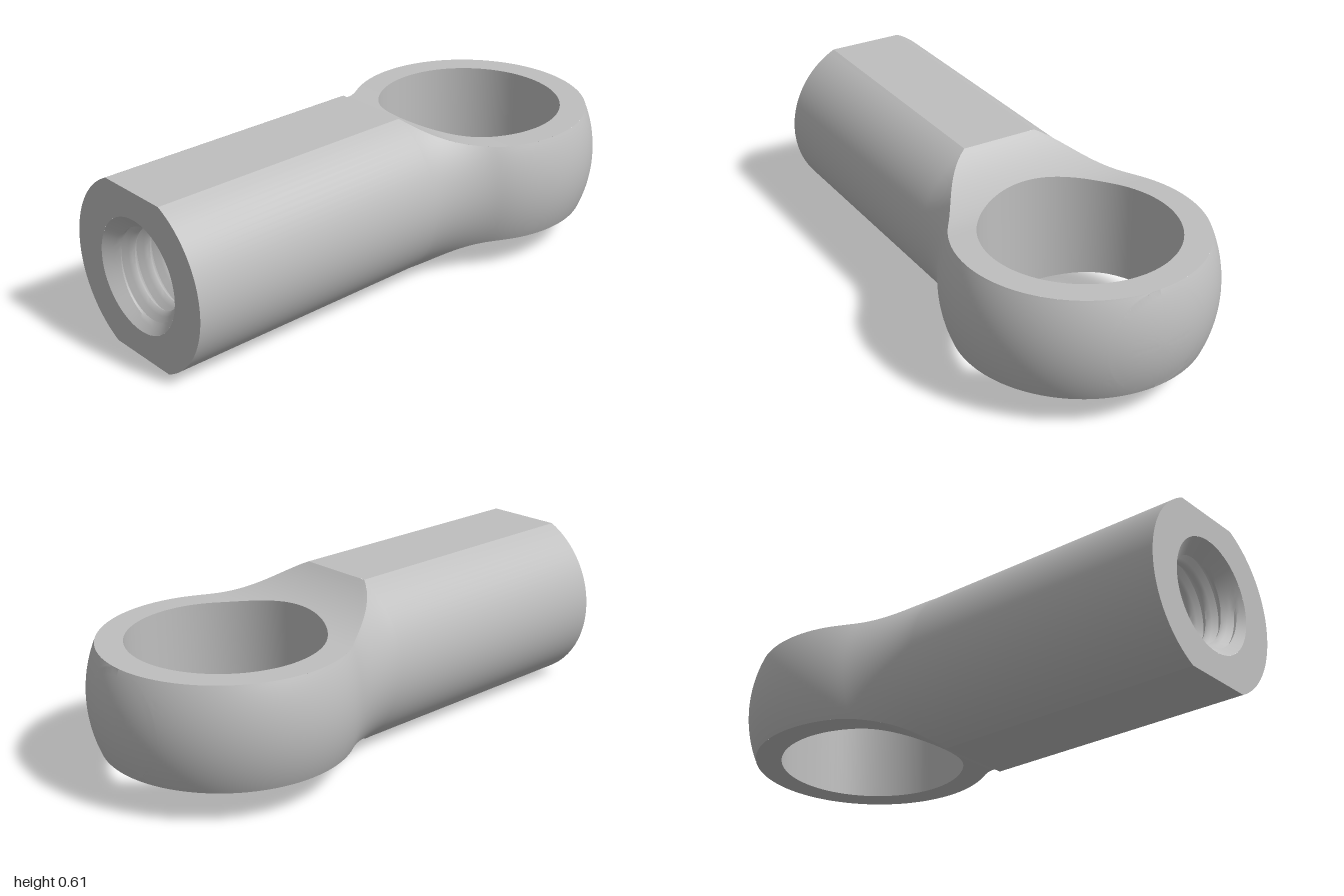
import * as THREE from 'three';
import { toCreasedNormals } from 'three/addons/utils/BufferGeometryUtils.js';

// Main dimensions; the body axis is z, and y = 0 is the mid plane here
const H = 0.3025, SHANK_R = 0.335, SHANK_END = -0.02, FRONT = 1;
const EYE_Z = -0.525, EYE_R = 0.475, EYE_H = 0.185, BORE_R = 0.342;
const NECK_R = 0.505, NECK_Z = -0.28;            // concave neck around the axis
const SCOOP_R = 0.468, SCOOP_Z = -0.33;          // concave scoop above and below
const MINOR_R = 0.143, MAJOR_R = 0.178, PITCH = 0.06, HOLE_END = 0.1, CHAMFER = 0.06;

// Radius of the turned body at z: cylinder, neck fillet, then ball
function radius(z) {
  if (z >= SHANK_END) return SHANK_R;
  if (z >= NECK_Z) return SHANK_R + NECK_R - Math.sqrt(NECK_R ** 2 - (z - SHANK_END) ** 2);
  return Math.sqrt(Math.max(0, EYE_R ** 2 - (z - EYE_Z) ** 2));
}

// Half height of the milled faces at z
function halfHeight(z) {
  if (z >= SHANK_END) return H;
  if (z <= SCOOP_Z) return EYE_H;
  return Math.min(H, EYE_H + SCOOP_R - Math.sqrt(SCOOP_R ** 2 - (z - SCOOP_Z) ** 2));
}

// Evenly spaced values, both ends included
function range(a, b, n) {
  return Array.from({ length: n + 1 }, (_, i) => a + (b - a) * i / n);
}

// Surface through point(u, v) for every u and v in the lists
function grid(us, vs, point, flip = false) {
  const pos = [], idx = [], n = vs.length;
  for (const u of us) for (const v of vs) pos.push(...point(u, v));
  for (let i = 0; i < us.length - 1; i++) {
    for (let j = 0; j < n - 1; j++) {
      const a = i * n + j, b = a + n, c = b + 1, d = a + 1;
      if (flip) idx.push(a, c, b, a, d, c);
      else idx.push(a, b, c, a, c, d);
    }
  }
  const g = new THREE.BufferGeometry();
  g.setAttribute('position', new THREE.Float32BufferAttribute(pos, 3));
  g.setIndex(idx);
  return toCreasedNormals(g, 0.45);
}

// Distance from the eye centre to the edge of the milled face, along phi
function outline(phi) {
  let lo = BORE_R, hi = 0.8;
  for (let i = 0; i < 40; i++) {
    const t = (lo + hi) / 2, x = t * Math.sin(phi), z = EYE_Z + t * Math.cos(phi);
    const inside = z <= SHANK_END + 1e-6 && x * x <= radius(z) ** 2 - halfHeight(z) ** 2;
    if (inside) lo = t; else hi = t;
  }
  return lo;
}

export function createModel() {
  const steel = new THREE.MeshStandardMaterial({ color: 0xbfbfbf });
  steel.name = 'steel grey';
  const model = new THREE.Group();
  model.name = 'rodEnd';
  const body = new THREE.Group();
  body.name = 'body';
  body.position.y = H;
  model.add(body);
  const add = (name, geometry) => {
    const mesh = new THREE.Mesh(geometry, steel);
    mesh.name = name;
    body.add(mesh);
    return mesh;
  };

  // Turned sides: shank, neck and ball, clipped by the milled faces
  const rimR = Math.sqrt(EYE_R ** 2 - EYE_H ** 2);
  const zs = [
    FRONT,
    ...range(SHANK_END, NECK_Z, 14),
    ...range(Math.acos((NECK_Z - EYE_Z) / rimR), Math.PI, 40).slice(1)
      .map(a => EYE_Z + rimR * Math.cos(a)),
    ...range(Math.asin(EYE_H / EYE_R), 0, 8).slice(1).map(a => EYE_Z - EYE_R * Math.cos(a)),
  ];
  for (const [name, turn] of [['leftSide', 0], ['rightSide', Math.PI]]) {
    add(name, grid(zs, range(-1, 1, 36), (z, v) => {
      const r = radius(z);
      const a = turn + v * (r > halfHeight(z) ? Math.asin(halfHeight(z) / r) : Math.PI / 2);
      return [r * Math.cos(a), r * Math.sin(a), z];
    }));
  }

  // Milled faces: flat on the shank, scooped down to the ring of the eye
  const flatX = Math.sqrt(SHANK_R ** 2 - H ** 2);
  const corner = Math.atan2(flatX, SHANK_END - EYE_Z);
  const phis = [...range(-corner, corner, 12), ...range(corner, 2 * Math.PI - corner, 108).slice(1)];
  const edge = new Map(phis.map(p => [p, outline(p)]));
  for (const [side, s] of [['top', 1], ['bottom', -1]]) {
    add(side + 'Flat', grid([-flatX, flatX], [SHANK_END, FRONT], (x, z) => [x, s * H, z], s > 0));
    add(side + 'EyeFace', grid(phis, range(0, 1, 10), (p, v) => {
      const t = BORE_R + (edge.get(p) - BORE_R) * v;
      const z = EYE_Z + t * Math.cos(p);
      return [t * Math.sin(p), s * halfHeight(z), z];
    }, s > 0));
  }

  // Bore through the eye
  add('eyeBore', grid(phis, [-1, 1], (p, v) => {
    const z = EYE_Z + BORE_R * Math.cos(p);
    return [BORE_R * Math.sin(p), v * halfHeight(z), z];
  }, true));

  // Front end face with the hole opening
  const a = Math.asin(H / SHANK_R);
  const face = new THREE.Shape();
  face.absarc(0, 0, SHANK_R, -a, a);
  face.absarc(0, 0, SHANK_R, Math.PI - a, Math.PI + a);
  face.closePath();
  const opening = new THREE.Path();
  opening.absarc(0, 0, MINOR_R + CHAMFER, 0, 2 * Math.PI, true);
  face.holes.push(opening);
  add('frontFace', new THREE.ShapeGeometry(face, 36)).position.z = FRONT;

  // Threaded blind hole: helical V groove running out into a chamfer
  const perTurn = 8;
  const rows = Math.ceil((FRONT - HOLE_END) / PITCH + 2) * perTurn;
  add('threadedHole', grid(range(0, 2 * Math.PI, 64), range(0, rows, rows), (t, k) => {
    const raw = HOLE_END + (k / perTurn + t / (2 * Math.PI) - 1) * PITCH;
    const z = Math.min(FRONT, Math.max(HOLE_END, raw));
    const groove = Math.max(0, 1 - Math.abs((k % perTurn) - 4) / 3.5);
    const thread = MINOR_R + (MAJOR_R - MINOR_R) * groove;
    const r = raw >= FRONT ? MINOR_R + CHAMFER : Math.max(thread, MINOR_R + CHAMFER - (FRONT - z));
    return [r * Math.cos(t), r * Math.sin(t), z];
  }, true));
  add('holeBottom', new THREE.CircleGeometry(MAJOR_R, 48)).position.z = HOLE_END;

  return model;
}
